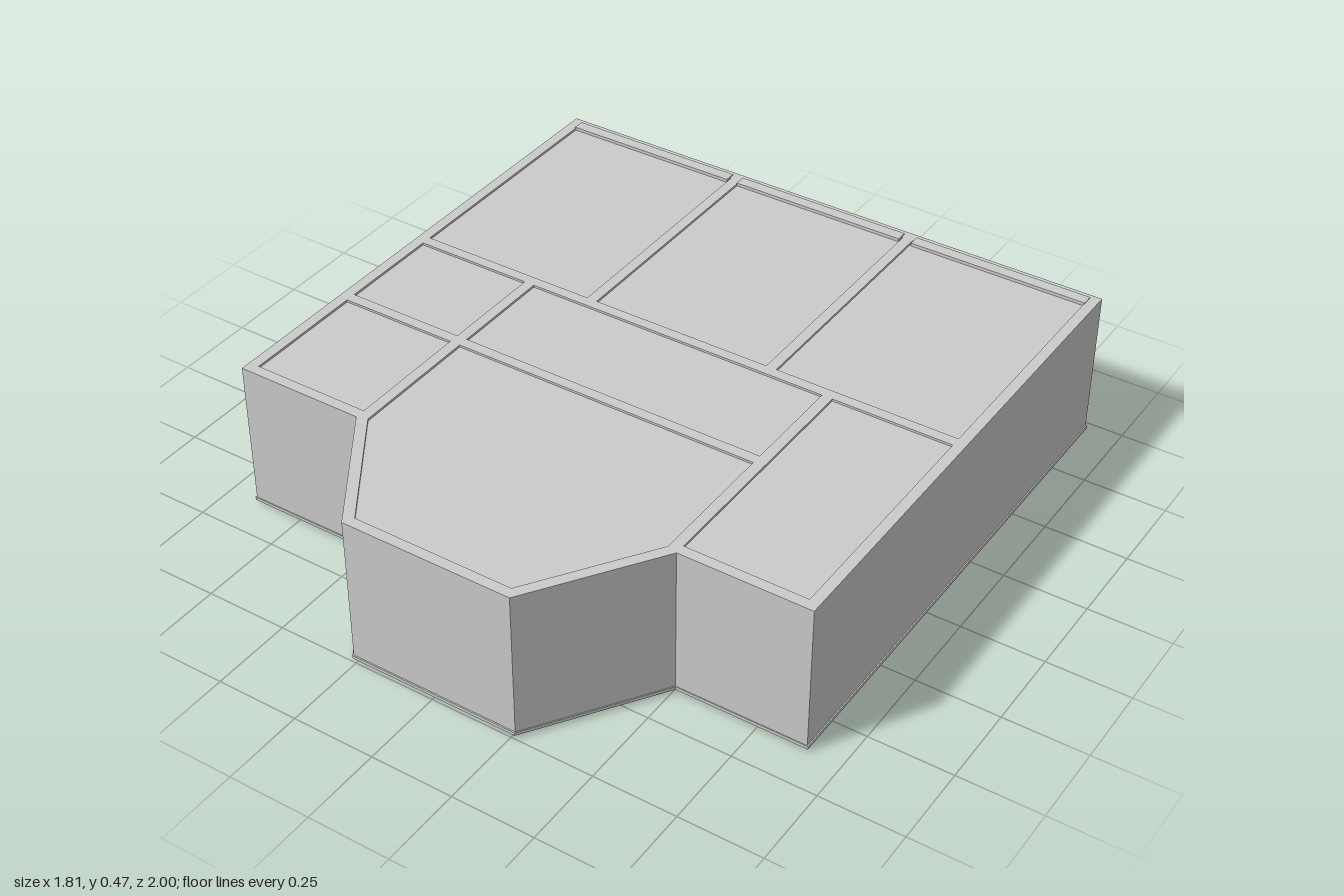
import * as THREE from 'three';

const grey = new THREE.MeshStandardMaterial({ color: 0xcccccc });
const dark = new THREE.MeshStandardMaterial({ color: 0x222222 });
const BASE = 0.01, TOP = 0.468, THICK = 0.032;

// Plan outline (x, z), clockwise seen from above
const plan = [
  [-0.9, -0.96], [0.9, -0.96], [0.9, 0.63], [0.505, 0.63],
  [0.26, 0.995], [-0.26, 0.995], [-0.505, 0.63], [-0.9, 0.63],
];
const windowCentres = [-0.595, -0.005, 0.595];
const WIN = { half: 0.21, low: 0.165, high: 0.39 };

function add(parent, name, geometry, material = grey) {
  const mesh = new THREE.Mesh(geometry, material);
  mesh.name = name;
  parent.add(mesh);
  return mesh;
}

// Box given by its limits on each axis
function box(parent, name, [x0, x1], [y0, y1], [z0, z1], material) {
  const mesh = add(parent, name, new THREE.BoxGeometry(x1 - x0, y1 - y0, z1 - z0), material);
  mesh.position.set((x0 + x1) / 2, (y0 + y1) / 2, (z0 + z1) / 2);
  return mesh;
}

const rectangle = (x0, x1, y0, y1) => [[x0, y0], [x1, y0], [x1, y1], [x0, y1]]
  .map(([x, y]) => new THREE.Vector2(x, y));

// Upright wall from a to b, thickened inwards, with [from, to, low, high] openings
function wall(parent, name, a, b, openings = []) {
  const dx = b[0] - a[0], dz = b[1] - a[1];
  const shape = new THREE.Shape(rectangle(0, Math.hypot(dx, dz), BASE, TOP));
  for (const o of openings) shape.holes.push(new THREE.Path(rectangle(...o)));
  const geometry = new THREE.ExtrudeGeometry(shape, { depth: THICK, bevelEnabled: false });
  const mesh = add(parent, name, geometry);
  mesh.position.set(a[0], 0, a[1]);
  mesh.rotation.y = Math.atan2(-dz, dx);
}

// Horizontal slab of the plan, optionally hollowed into a ring
function slab(parent, name, scale, y0, y1, hole) {
  const points = (s) => plan.map(([x, z]) => new THREE.Vector2(x * s, z * s));
  const shape = new THREE.Shape(points(scale));
  if (hole) shape.holes.push(new THREE.Path(points(hole)));
  const geometry = new THREE.ExtrudeGeometry(shape, { depth: y1 - y0, bevelEnabled: false });
  geometry.rotateX(Math.PI / 2);
  add(parent, name, geometry).position.y = y1;
}

// Projecting surround, sill and three-light frame
function makeWindow(cx) {
  const group = new THREE.Group();
  group.name = 'window';
  const { half, low, high } = WIN;
  const w = half + 0.012;
  const zs = [-0.995, -0.935];
  for (const s of [-1, 1]) {
    const x = s * half;
    box(group, 'surroundSide', [x - 0.012, x + 0.012], [low, high], zs);
  }
  box(group, 'surroundTop', [-w, w], [high - 0.012, high + 0.01], zs);
  box(group, 'sill', [-w - 0.004, w + 0.004], [low - 0.013, low + 0.008], [-1, -0.92]);
  // Each light has its own slim sash
  const lights = [[-0.198, -0.102], [-0.098, 0.098], [0.102, 0.198]];
  for (const [x0, x1] of lights) {
    const z = [-0.975, -0.95], y0 = low + 0.008, y1 = high - 0.012, b = 0.014;
    box(group, 'sashLeft', [x0, x0 + b], [y0, y1], z);
    box(group, 'sashRight', [x1 - b, x1], [y0, y1], z);
    box(group, 'sashTop', [x0, x1], [y1 - b, y1], z);
    box(group, 'sashBottom', [x0, x1], [y0, y0 + b], z);
  }
  for (const x of [-0.1, 0.1]) box(group, 'mullion', [x - 0.005, x + 0.005], [low, high], [-0.98, -0.945]);
  group.position.x = cx;
  return group;
}

export function createModel() {
  const model = new THREE.Group();
  model.name = 'apartment';

  // Outer walls: windows at the back, entrance on the -x side
  const openings = {
    0: windowCentres.map((c) => [c + 0.9 - WIN.half, c + 0.9 + WIN.half, WIN.low, WIN.high]),
    7: [[0.52, 0.67, 0.02, 0.4]],
  };
  plan.forEach((a, i) => wall(model, 'outerWall', a, plan[(i + 1) % plan.length], openings[i]));

  // Partitions, with doorways from the hall
  const door = (from) => [from, from + 0.14, 0.02, 0.38];
  wall(model, 'crossWall', [-0.88, -0.165], [0.88, -0.165], [door(0.43), door(0.8), door(1.22)]);
  wall(model, 'hallWall', [-0.88, 0.185], [0.5, 0.185], [door(0.75)]);
  for (const x of [-0.295, 0.295]) wall(model, 'bedroomWall', [x + THICK / 2, -0.94], [x + THICK / 2, -0.15]);
  wall(model, 'sideWallRight', [-0.473, -0.15], [-0.473, 0.63], [door(0.1)]);
  wall(model, 'sideWallLeft', [0.505, -0.15], [0.505, 0.63], [door(0.1)]);

  // Floor, ceiling and base trim
  slab(model, 'floor', 0.99, 0.015, 0.022);
  slab(model, 'ceiling', 0.99, 0.454, 0.461);
  slab(model, 'baseTrim', 1.004, BASE, 0.02, 0.985);

  // Raised curtain recesses along the back wall
  for (const [x0, x1] of [[-0.87, -0.315], [-0.28, 0.275], [0.315, 0.87]]) {
    box(model, 'curtainRecess', [x0, x1], [0.45, 0.471], [-0.945, -0.91]);
  }

  for (const cx of windowCentres) model.add(makeWindow(cx));

  // Dark fitted cabinets in the middle room
  box(model, 'wardrobe', [-0.278, -0.18], [0.012, 0.4], [-0.74, -0.18], dark);
  box(model, 'cabinet', [-0.278, -0.18], [0.012, 0.25], [-0.9, -0.79], dark);

  // Thin threshold under the hall partition
  box(model, 'threshold', [-0.53, -0.51], [0, 0.02], [-0.16, 0.24]);

  return model;
}
